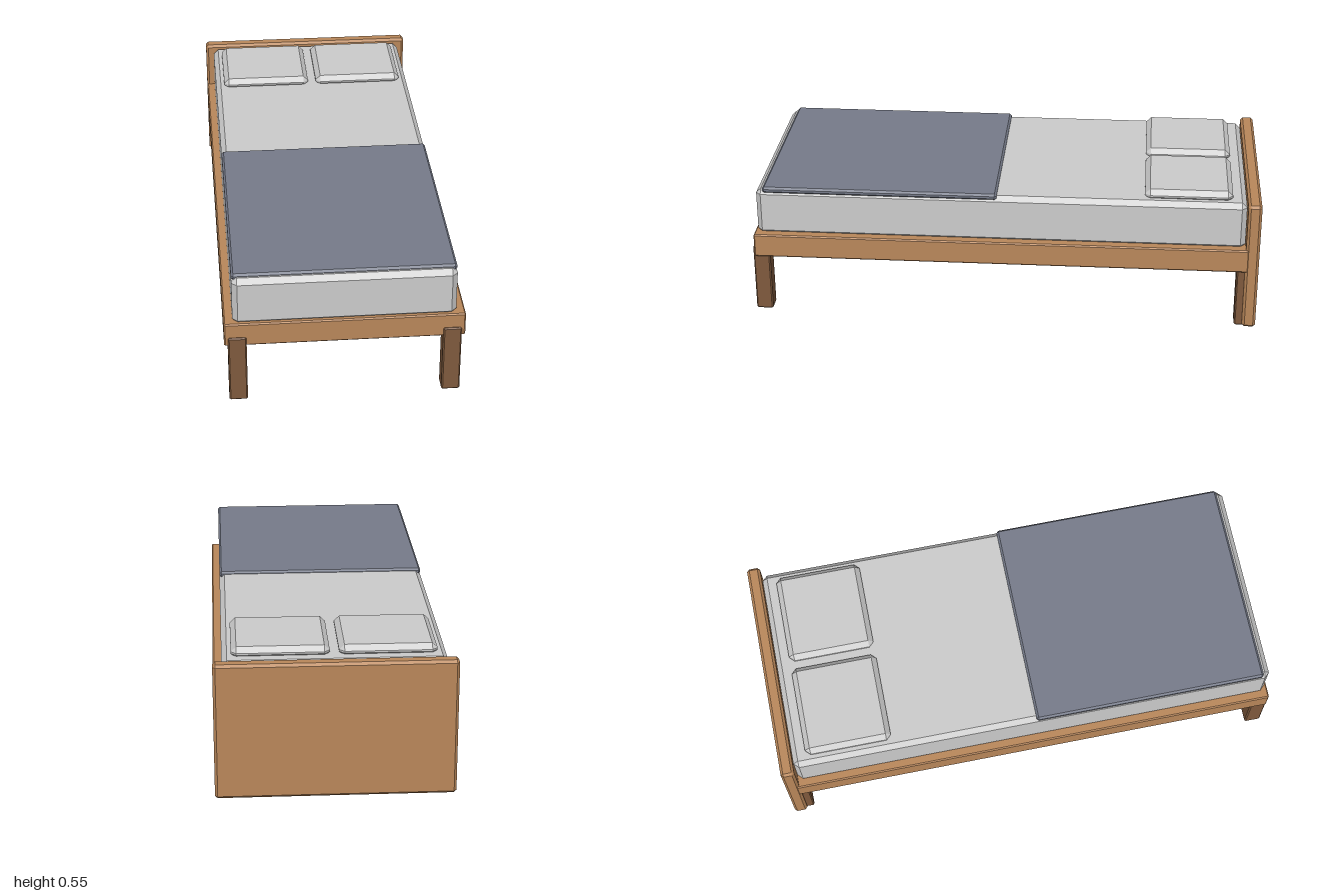
import * as THREE from 'three';
import { ConvexGeometry } from 'three/addons/geometries/ConvexGeometry.js';

const material = (color) => new THREE.MeshStandardMaterial({ color, flatShading: true });

// Box between two corners with every edge chamfered by c
function chamferBox(name, [x0, y0, z0], [x1, y1, z1], c, mat) {
  const half = [(x1 - x0) / 2, (y1 - y0) / 2, (z1 - z0) / 2];
  const points = [];
  for (const sx of [-1, 1]) for (const sy of [-1, 1]) for (const sz of [-1, 1]) {
    // Each corner becomes three points, one on each face it touches
    for (let face = 0; face < 3; face++) {
      const p = [sx, sy, sz].map((s, i) => s * (half[i] - (i === face ? 0 : c)));
      points.push(new THREE.Vector3(...p));
    }
  }
  const mesh = new THREE.Mesh(new ConvexGeometry(points), mat);
  mesh.name = name;
  mesh.position.set((x0 + x1) / 2, (y0 + y1) / 2, (z0 + z1) / 2);
  return mesh;
}

export function createModel() {
  const bed = new THREE.Group();
  bed.name = 'bed';
  const wood = material(0xb9875a);
  const darkWood = material(0x7f5a3d);
  const linen = material(0xcccccc);
  const cloth = material(0x767b8a);

  // Wooden base and headboard
  bed.add(chamferBox('frame', [-0.448, 0.243, -0.96], [0.448, 0.338, 0.993], 0.005, wood));
  bed.add(chamferBox('headboard', [-0.448, 0, -1], [0.448, 0.53, -0.947], 0.01, wood));

  // Mattress and the blanket over its foot half
  bed.add(chamferBox('mattress', [-0.415, 0.325, -0.945], [0.415, 0.52, 0.982], 0.02, linen));
  bed.add(chamferBox('blanket', [-0.415, 0.505, 0.03], [0.415, 0.53, 0.955], 0.008, cloth));

  // Mirrored pillows and legs
  for (const [side, s] of [['left', 1], ['right', -1]]) {
    const across = (a, b) => (s > 0 ? [a, b] : [-b, -a]);
    const [p0, p1] = across(0.017, 0.38);
    bed.add(chamferBox(side + 'Pillow', [p0, 0.505, -0.89], [p1, 0.552, -0.548], 0.02, linen));
    const [l0, l1] = across(0.365, 0.434);
    bed.add(chamferBox(side + 'FrontLeg', [l0, 0.002, 0.934], [l1, 0.28, 1], 0.005, darkWood));
    bed.add(chamferBox(side + 'BackLeg', [l0, 0.002, -0.982], [l1, 0.28, -0.916], 0.005, darkWood));
  }
  return bed;
}
